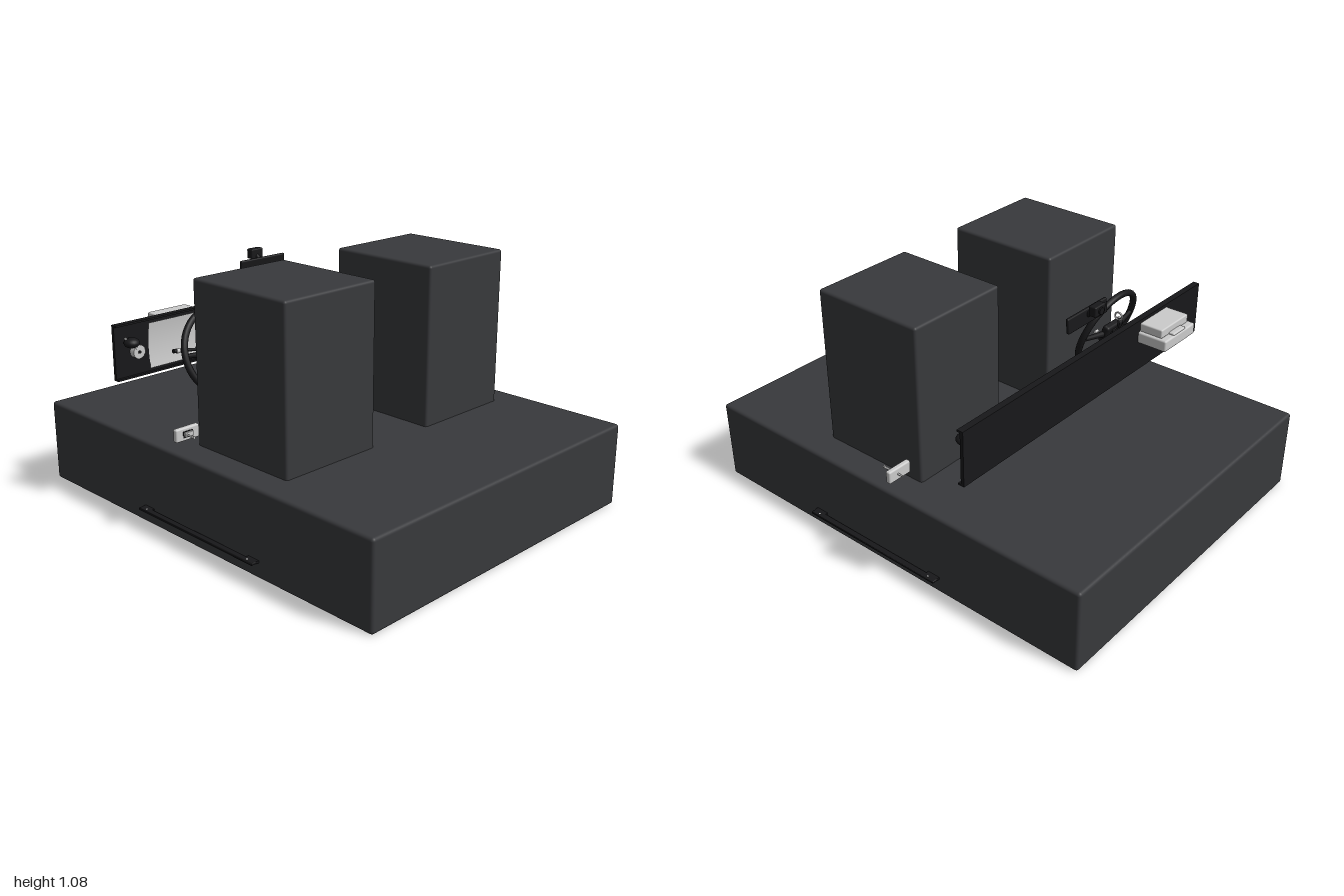
import * as THREE from 'three';
import { RoundedBoxGeometry } from 'three/addons/geometries/RoundedBoxGeometry.js';

const charcoal = new THREE.MeshStandardMaterial({ color: 0x38393c });
const black = new THREE.MeshStandardMaterial({ color: 0x18181a });
const grey = new THREE.MeshStandardMaterial({ color: 0xcccccc });

function add(parent, name, geometry, material, x = 0, y = 0, z = 0) {
  const mesh = new THREE.Mesh(geometry, material);
  mesh.name = name;
  mesh.position.set(x, y, z);
  parent.add(mesh);
  return mesh;
}

// Box given by its limits on each axis, with optional rounded edges
function box(parent, name, material, [x0, x1], [y0, y1], [z0, z1], radius = 0) {
  const size = [x1 - x0, y1 - y0, z1 - z0];
  const geometry = radius ? new RoundedBoxGeometry(...size, 3, radius) : new THREE.BoxGeometry(...size);
  return add(parent, name, geometry, material, (x0 + x1) / 2, (y0 + y1) / 2, (z0 + z1) / 2);
}

// Round bar between two points
function rod(parent, name, material, a, b, r0, r1 = r0) {
  const start = new THREE.Vector3(...a), end = new THREE.Vector3(...b);
  const direction = end.clone().sub(start);
  const mesh = add(parent, name, new THREE.CylinderGeometry(r1, r0, direction.length(), 16), material);
  mesh.position.copy(start).lerp(end, 0.5);
  mesh.quaternion.setFromUnitVectors(new THREE.Vector3(0, 1, 0), direction.normalize());
  return mesh;
}

function group(parent, name, x = 0, y = 0, z = 0) {
  const g = new THREE.Group();
  g.name = name;
  g.position.set(x, y, z);
  parent.add(g);
  return g;
}

function buildDashboard(model) {
  const dash = group(model, 'dashboard');
  box(dash, 'dashPanel', black, [-0.8, 0.8], [0.603, 0.845], [-0.467, -0.452]);
  for (const y of [0.603, 0.837]) box(dash, 'dashRim', black, [-0.8, 0.8], [y, y + 0.008], [-0.467, -0.438]);
  // Wide display, gently bowed across its height
  const display = new THREE.PlaneGeometry(1.26, 0.2, 1, 12);
  const p = display.attributes.position;
  for (let i = 0; i < p.count; i++) p.setZ(i, 0.8 * p.getY(i) ** 2);
  display.computeVertexNormals();
  add(dash, 'display', display, grey, 0, 0.725, -0.45);

  // Instrument housing behind the panel, in two steps
  box(dash, 'housingBase', grey, [-0.55, -0.32], [0.74, 0.792], [-0.605, -0.46], 0.008);
  box(dash, 'housingTop', grey, [-0.537, -0.333], [0.79, 0.83], [-0.575, -0.46], 0.006);
  box(dash, 'housingRidge', grey, [-0.48, -0.39], [0.765, 0.8], [-0.6, -0.57], 0.006);
  rod(dash, 'housingBracket', black, [-0.435, 0.745, -0.465], [-0.435, 0.7, -0.51], 0.006);

  // Turning knob, lever and round outlet at each end
  for (const s of [-1, 1]) {
    const vent = group(dash, s > 0 ? 'leftVent' : 'rightVent');
    rod(vent, 'knob', grey, [s * 0.695, 0.715, -0.452], [s * 0.695, 0.715, -0.425], 0.03);
    rod(vent, 'knobCentre', black, [s * 0.695, 0.715, -0.43], [s * 0.695, 0.715, -0.421], 0.007);
    rod(vent, 'lever', grey, [s * 0.705, 0.73, -0.428], [s * 0.763, 0.787, -0.428], 0.005);
    add(vent, 'outlet', new THREE.SphereGeometry(0.034, 20, 12), black, s * 0.737, 0.765, -0.418).scale.y = 0.65;
  }
}

function buildSteering(model) {
  // Local z points along the column towards the driver
  const steering = group(model, 'steering', -0.415, 0.703, -0.235);
  steering.rotation.x = -0.35;
  add(steering, 'wheelRim', new THREE.TorusGeometry(0.184, 0.015, 12, 48), black);
  box(steering, 'hub', black, [-0.06, 0.06], [-0.045, 0.045], [-0.045, -0.01], 0.012);
  for (const s of [-1, 1]) {
    rod(steering, 'sideSpoke', black, [s * 0.05, 0, -0.025], [s * 0.18, 0.012, -0.003], 0.014, 0.01);
    rod(steering, 'lowerSpoke', black, [s * 0.02, -0.03, -0.025], [s * 0.045, -0.177, -0.003], 0.012, 0.01);
    box(steering, 'button', grey, [s * 0.083 - 0.013, s * 0.083 + 0.013], [-0.006, 0.018], [-0.01, 0.004], 0.003);
    // Stalks reach out behind the wheel
    rod(steering, 'stalk', black, [s * 0.03, 0.025, -0.085], [s * 0.18, 0.045, -0.08], 0.006, 0.009);
    rod(steering, 'stalkTip', grey, [s * 0.15, 0.041, -0.08], [s * 0.165, 0.043, -0.08], 0.0105);
  }
  rod(steering, 'column', black, [0, 0, -0.02], [0, 0, -0.12], 0.03);
  box(steering, 'columnShroud', black, [-0.05, 0.05], [-0.02, 0.045], [-0.105, -0.055], 0.01);
  box(steering, 'columnHousing', black, [-0.05, 0.05], [-0.13, -0.015], [-0.115, -0.02], 0.006);
  rod(steering, 'ignition', grey, [0.045, -0.07, -0.08], [0.062, -0.07, -0.08], 0.014);
  rod(steering, 'ignition', grey, [-0.045, -0.07, -0.08], [-0.062, -0.07, -0.08], 0.014);
  const ring = add(steering, 'selectorRing', new THREE.TorusGeometry(0.018, 0.004, 8, 24), grey, 0, 0.09, -0.035);
  ring.rotation.y = Math.PI / 2;
  rod(steering, 'selectorStem', black, [0, 0.075, -0.04], [0, 0.03, -0.065], 0.005);
}

function buildMirror(model) {
  const mirror = group(model, 'rearMirror');
  const shell = box(mirror, 'mirrorShell', black, [-0.13, 0.13], [0.951, 1.017], [-0.43, -0.414], 0.006);
  shell.rotation.x = 0.1;
  rod(mirror, 'mirrorArm', black, [0, 0.99, -0.425], [0, 1.025, -0.47], 0.011);
  box(mirror, 'mirrorMount', black, [-0.034, 0.034], [1.005, 1.05], [-0.488, -0.452], 0.006);
  rod(mirror, 'mountSensor', black, [0, 1.027, -0.48], [0, 1.027, -0.495], 0.015);
}

function buildDoorHandle(model, s) {
  const handle = group(model, s > 0 ? 'leftDoorHandle' : 'rightDoorHandle', s * 0.745, 0.463, -0.06);
  box(handle, 'handlePlate', grey, [-0.059, 0.059], [-0.028, 0.028], [-0.016, 0.008], 0.007);
  box(handle, 'handleRecess', black, [-0.025, 0.025], [-0.014, 0.014], [0, 0.0095]);
  box(handle, 'handlePull', grey, [-0.021, 0.021], [-0.01, 0.01], [0, 0.018], 0.003);
  rod(handle, 'handlePin', grey, [s * 0.012, 0, -0.04], [s * 0.012, 0, 0.06], 0.004);
  for (const z of [0.045, 0.058]) rod(handle, 'pinCollar', grey, [s * 0.012, 0, z], [s * 0.012, 0, z + 0.006], 0.006);
}

function buildSideStep(model, s) {
  // Flat step plate with a long slot against the body
  const step = group(model, s > 0 ? 'leftStep' : 'rightStep');
  const span = (a, b) => (s > 0 ? [a, b] : [-b, -a]);
  box(step, 'stepPlate', black, span(0.797, 0.825), [0.07, 0.08], [-0.31, 0.41], 0.003);
  for (const z of [-0.31, 0.35]) box(step, 'stepBracket', black, span(0.78, 0.8), [0.07, 0.08], [z, z + 0.06]);
  for (const z of [-0.27, 0.37]) rod(step, 'stepBolt', grey, [s * 0.812, 0.076, z], [s * 0.812, 0.0815, z], 0.004);
}

export function createModel() {
  const model = new THREE.Group();
  model.name = 'vehicleInterior';
  box(model, 'floorBlock', charcoal, [-0.787, 0.787], [0, 0.375], [-1, 1], 0.014);
  for (const s of [-1, 1]) {
    const x = s * 0.41;
    box(model, s > 0 ? 'leftSeat' : 'rightSeat', charcoal, [x - 0.245, x + 0.245], [0.36, 1.08], [-0.103, 0.43], 0.012);
    buildDoorHandle(model, s);
    buildSideStep(model, s);
  }
  buildDashboard(model);
  buildSteering(model);
  buildMirror(model);
  return model;
}
